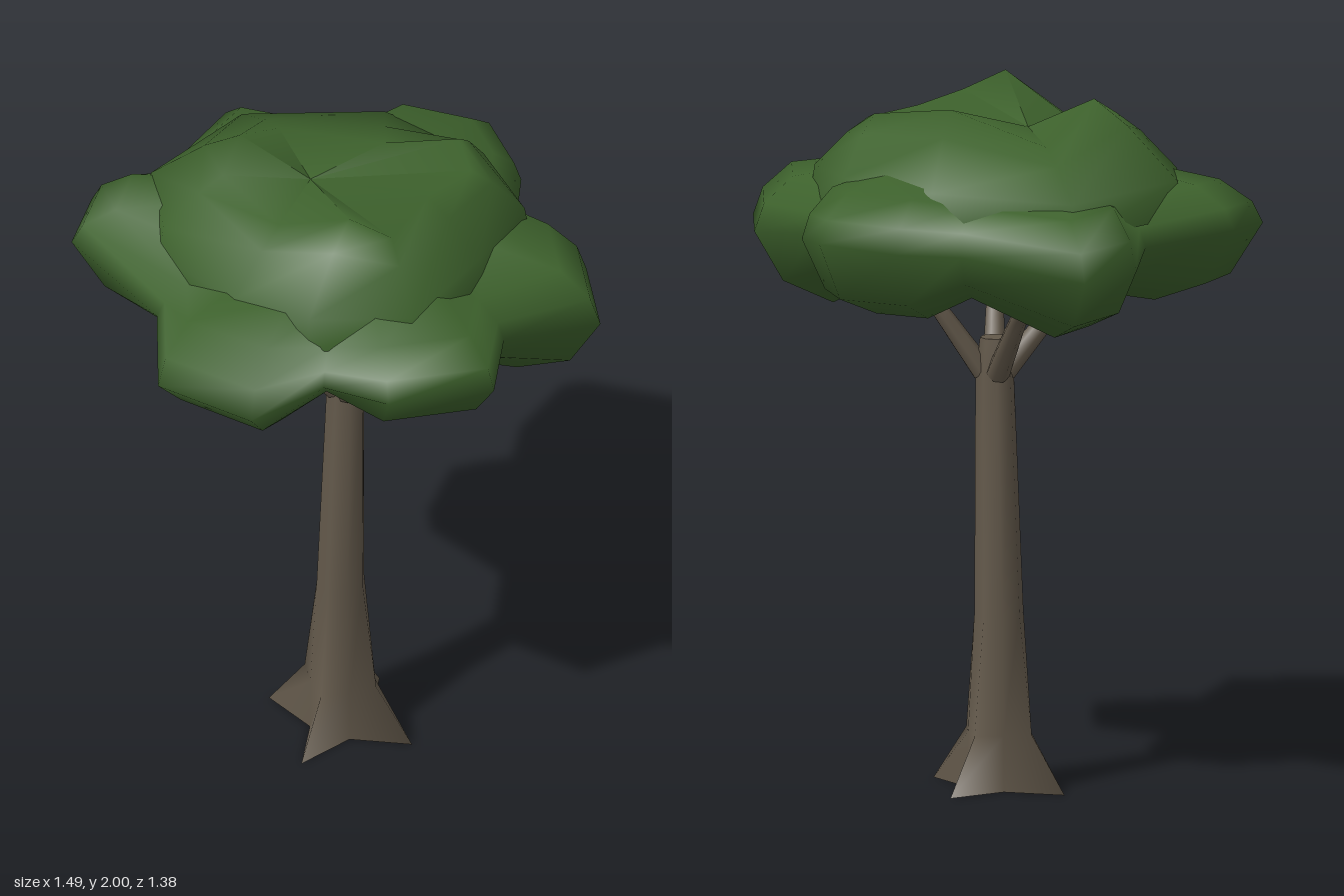
import * as THREE from 'three';

const V = (x, y, z) => new THREE.Vector3(x, y, z);

// Skin a stack of equal-length closed rings, bottom to top
function loft(rings) {
  const n = rings[0].length, index = [];
  for (let r = 0; r < rings.length - 1; r++) {
    for (let i = 0; i < n; i++) {
      const a = r * n + i, b = r * n + (i + 1) % n;
      index.push(a, a + n, b, b, a + n, b + n);
    }
  }
  const geo = new THREE.BufferGeometry().setFromPoints(rings.flat());
  geo.setIndex(index);
  geo.computeVertexNormals();
  return geo;
}

// Eight-sided trunk section: even corners run into the four roots
function trunkRing(y, cx, rootRadius, valleyRadius) {
  return Array.from({ length: 8 }, (_, i) => {
    const a = i * Math.PI / 4, r = i % 2 ? valleyRadius : rootRadius;
    return V(cx + r * Math.cos(a), y, r * Math.sin(a));
  });
}

// Tube along a path, tapering from r0 to r1
function taperedTube(points, r0, r1) {
  const segments = 8, sides = 7;
  const curve = new THREE.CatmullRomCurve3(points);
  const geo = new THREE.TubeGeometry(curve, segments, r0, sides);
  const pos = geo.attributes.position, p = V();
  for (let i = 0; i < pos.count; i++) {
    const u = Math.floor(i / (sides + 1)) / segments;
    const c = curve.getPointAt(u);
    p.fromBufferAttribute(pos, i).sub(c).multiplyScalar(1 + (r1 / r0 - 1) * u).add(c);
    pos.setXYZ(i, p.x, p.y, p.z);
  }
  return geo;
}

// Crown outline: x, z, then heights of underside, rim and shoulder
const OUTLINE = [
  [0.32, -0.41, 1.46, 1.61, 1.72],
  [0.58, -0.35, 1.38, 1.58, 1.74],   // left back lobe
  [0.74, -0.14, 1.37, 1.58, 1.74],
  [0.55, 0.08, 1.45, 1.6, 1.7],
  [0.66, 0.34, 1.45, 1.63, 1.75],    // left front lobe
  [0.43, 0.54, 1.45, 1.63, 1.75],
  [0.2, 0.5, 1.46, 1.58, 1.66],
  [0.07, 0.69, 1.39, 1.54, 1.72],    // front lobe
  [-0.24, 0.67, 1.39, 1.54, 1.71],
  [-0.37, 0.44, 1.46, 1.59, 1.67],
  [-0.71, 0.32, 1.44, 1.65, 1.77],   // right front lobe
  [-0.75, 0.13, 1.44, 1.66, 1.78],
  [-0.58, -0.06, 1.47, 1.62, 1.73],
  [-0.65, -0.2, 1.39, 1.58, 1.75],   // right back lobe
  [-0.64, -0.43, 1.38, 1.58, 1.74],
  [-0.25, -0.49, 1.47, 1.62, 1.75],
  [-0.14, -0.65, 1.42, 1.64, 1.78],  // back lobe
  [0.1, -0.69, 1.42, 1.65, 1.78],
  [0.25, -0.57, 1.42, 1.63, 1.77],
];

// Upper crown: shoulder x, y, z, then top x, y, z
const UPPER = [
  [0.43, 1.79, 0, 0.25, 1.93, -0.02],
  [0.39, 1.78, 0.33, 0.26, 1.94, 0.21],
  [0.12, 1.75, 0.44, 0.15, 2.0, 0.26],
  [-0.12, 1.74, 0.44, -0.08, 1.89, 0.25],
  [-0.43, 1.78, 0.29, -0.3, 1.94, 0.18],
  [-0.58, 1.79, 0.09, -0.31, 2.0, 0.06],
  [-0.5, 1.77, -0.3, -0.3, 1.89, -0.15],
  [-0.14, 1.79, -0.48, 0.04, 1.96, -0.15],
  [0.2, 1.79, -0.44, 0.21, 1.95, -0.28],
  [0.42, 1.78, -0.28, 0.29, 1.92, -0.2],
];

export function createModel() {
  const tree = new THREE.Group();
  tree.name = 'tree';
  const bark = new THREE.MeshStandardMaterial({ color: 0x62584a, side: THREE.DoubleSide });
  bark.name = 'bark brown';
  const leaf = new THREE.MeshStandardMaterial({ color: 0x3d612c });
  leaf.name = 'leaf green';
  const group = (name) => {
    const g = new THREE.Group();
    g.name = name;
    tree.add(g);
    return g;
  };
  const add = (name, geo, mat, parent) => {
    const mesh = new THREE.Mesh(geo, mat);
    mesh.name = name;
    parent.add(mesh);
  };

  // Hollow trunk with four flared roots
  const trunk = group('trunk');
  add('trunkBody', loft([
    trunkRing(0, -0.02, 0.23, 0.09),
    trunkRing(0.16, -0.02, 0.115, 0.088),
    trunkRing(0.5, -0.02, 0.072, 0.07),
    trunkRing(1.18, -0.005, 0.055, 0.055),
    trunkRing(1.29, -0.005, 0.042, 0.042),
  ]), bark, trunk);
  const top = new THREE.CircleGeometry(0.042, 8).rotateX(-Math.PI / 2).translate(-0.005, 1.29, 0);
  add('trunkTop', top, bark, trunk);

  // Four branches spreading into the crown
  const branches = group('branches');
  for (const [x, y, z] of [[-0.38, 1.52, -0.25], [0.24, 1.5, 0.34], [0.28, 1.5, -0.21], [-0.28, 1.5, 0.31]]) {
    const path = [
      V(x * 0.08, 1.19, z * 0.08),
      V(x * 0.28, 1.29, z * 0.28),
      V(x * 0.52, 1.4, z * 0.52),
      V(x, y, z),
    ];
    add('branch', taperedTube(path, 0.034, 0.015), bark, branches);
  }

  // Six-lobed lower crown
  const crown = group('crown');
  const ring = (scale, height) =>
    OUTLINE.map(([x, z, under, rim, shoulder]) => V(x * scale, height(under, rim, shoulder), z * scale));
  add('lowerCrown', loft([
    ring(0, () => 1.5),
    ring(0.38, () => 1.475),
    ring(0.67, (under) => under),
    ring(0.88, (under) => under + 0.06),
    ring(1, (under, rim) => rim),
    ring(0.96, (under, rim, shoulder) => (rim + shoulder) / 2),
    ring(0.84, (under, rim, shoulder) => shoulder),
    ring(0.55, (under, rim, shoulder) => shoulder + 0.04),
  ]), leaf, crown);

  // Upper crown with four peaks, its skirt tucked into the lower crown
  add('upperCrown', loft([
    UPPER.map(([x, y, z]) => V(x * 1.03, y - 0.1, z * 1.03)),
    UPPER.map(([x, y, z]) => V(x, y, z)),
    UPPER.map(([x, y, z, tx, ty, tz]) => V(x * 0.4 + tx * 0.6, y * 0.32 + ty * 0.68, z * 0.4 + tz * 0.6)),
    UPPER.map(([, , , tx, ty, tz]) => V(tx, ty, tz)),
    UPPER.map(() => V(-0.1, 1.9, 0.03)),
  ]), leaf, crown);

  return tree;
}
